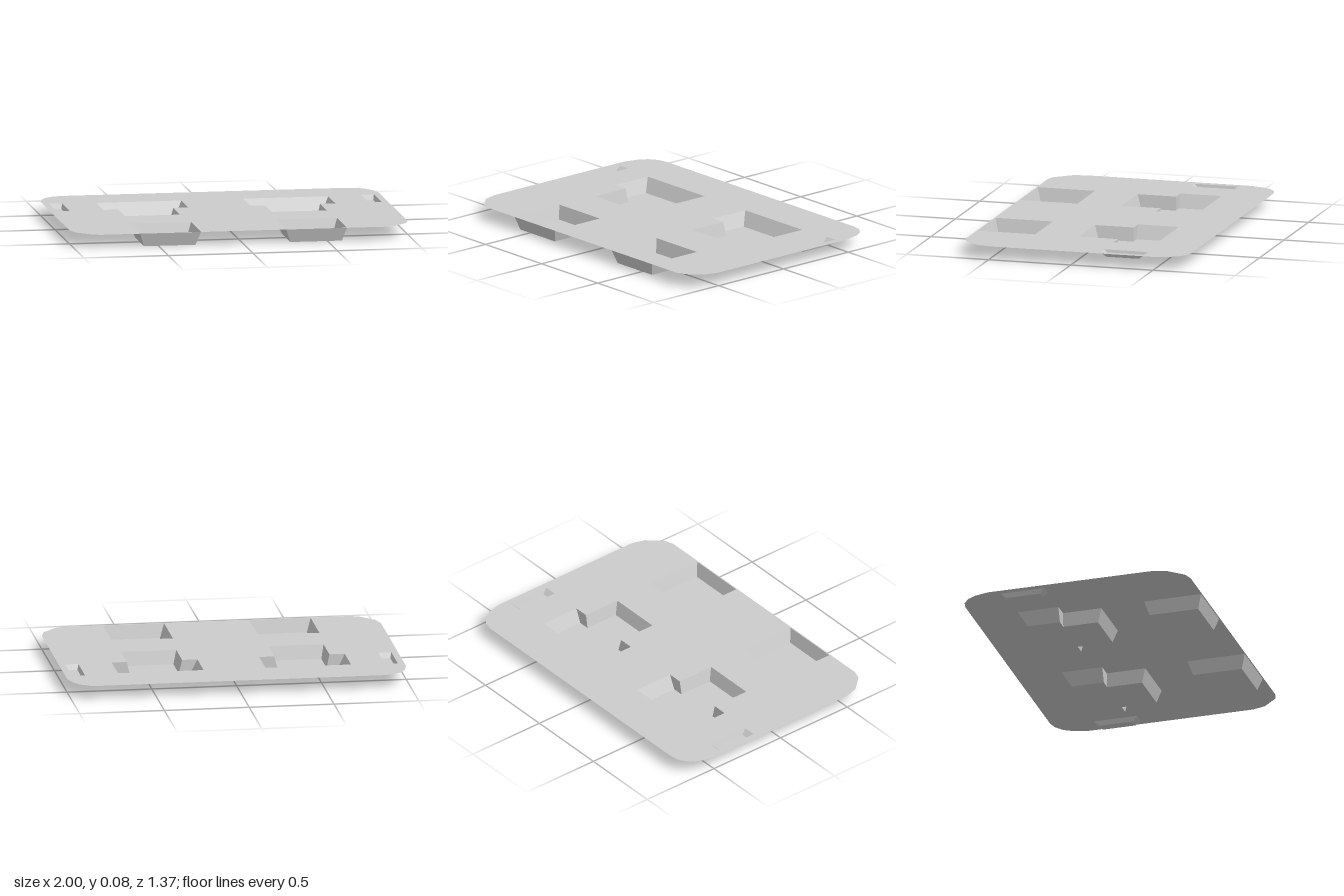
import * as THREE from 'three';

const TOP = 0.08;
const material = new THREE.MeshStandardMaterial({
  color: 0xcccccc, flatShading: true, side: THREE.DoubleSide,
});

// Outlines are [x, z] points running back-left, back-right, front-right, front-left.
const rect = (x0, x1, z0, z1) => [[x0, z0], [x1, z0], [x1, z1], [x0, z1]];
const tee = (x0, x1, z0, step, s0, s1, z1) => [
  [x0, z0], [x1, z0], [x1, step], [s1, step], [s1, z1], [s0, z1], [s0, step], [x0, step],
];
const mirror = (points) => points.map(([x, z]) => [-x, z]).reverse();
const toVectors = (points) => points.map(([x, z]) => new THREE.Vector2(x, -z));

// Horizontal panel at height y, with optional openings
function panel(name, outline, y, openings = []) {
  const shape = new THREE.Shape(toVectors(outline));
  for (const o of openings) shape.holes.push(new THREE.Path(toVectors(o)));
  const geometry = new THREE.ShapeGeometry(shape).rotateX(-Math.PI / 2).translate(0, y, 0);
  const mesh = new THREE.Mesh(geometry, material);
  mesh.name = name;
  return mesh;
}

// Sloping walls joining the rim outline to the floor outline
function walls(rim, floor, y) {
  const positions = [];
  rim.forEach((p, i) => {
    const j = (i + 1) % rim.length;
    const a = [p[0], TOP, p[1]], b = [rim[j][0], TOP, rim[j][1]];
    const c = [floor[i][0], y, floor[i][1]], d = [floor[j][0], y, floor[j][1]];
    positions.push(...a, ...c, ...d, ...a, ...d, ...b);
  });
  const geometry = new THREE.BufferGeometry();
  geometry.setAttribute('position', new THREE.Float32BufferAttribute(positions, 3));
  geometry.computeVertexNormals();
  const mesh = new THREE.Mesh(geometry, material);
  mesh.name = 'wellWalls';
  return mesh;
}

export function createModel() {
  const model = new THREE.Group();
  model.name = 'floorMat';

  // Recesses on the +x side, repeated on the other side
  const wells = [
    { name: 'FrontWell', y: 0,
      rim: rect(0.252, 0.612, 0.332, 0.68), floor: rect(0.28, 0.586, 0.358, 0.655) },
    { name: 'RearWell', y: 0,
      rim: tee(0.182, 0.687, -0.415, -0.167, 0.272, 0.597, 0.068),
      floor: tee(0.224, 0.647, -0.366, -0.17, 0.292, 0.58, 0.042) },
    { name: 'SidePocket', y: 0.052,
      rim: rect(0.884, 0.961, -0.435, -0.17), floor: rect(0.894, 0.951, -0.4, -0.2) },
  ];

  const openings = [];
  for (const side of ['left', 'right']) {
    for (const { name, y, rim, floor } of wells) {
      const r = side === 'left' ? rim : mirror(rim);
      const f = side === 'left' ? floor : mirror(floor);
      const well = new THREE.Group();
      well.name = side + name;
      well.add(walls(r, f, y), panel('wellFloor', f, y));
      model.add(well);
      openings.push(r);
    }
  }

  // Flat sheet with faceted corners, softer at the back
  const backRight = [[0.84, -0.687], [0.895, -0.675], [0.945, -0.64], [0.978, -0.585], [1, -0.5]];
  const frontRight = [[1, 0.5], [0.978, 0.58], [0.895, 0.67], [0.84, 0.687]];
  const outline = [...mirror(backRight), ...backRight, ...frontRight, ...mirror(frontRight)];
  model.add(panel('sheet', outline, TOP, openings));

  return model;
}
